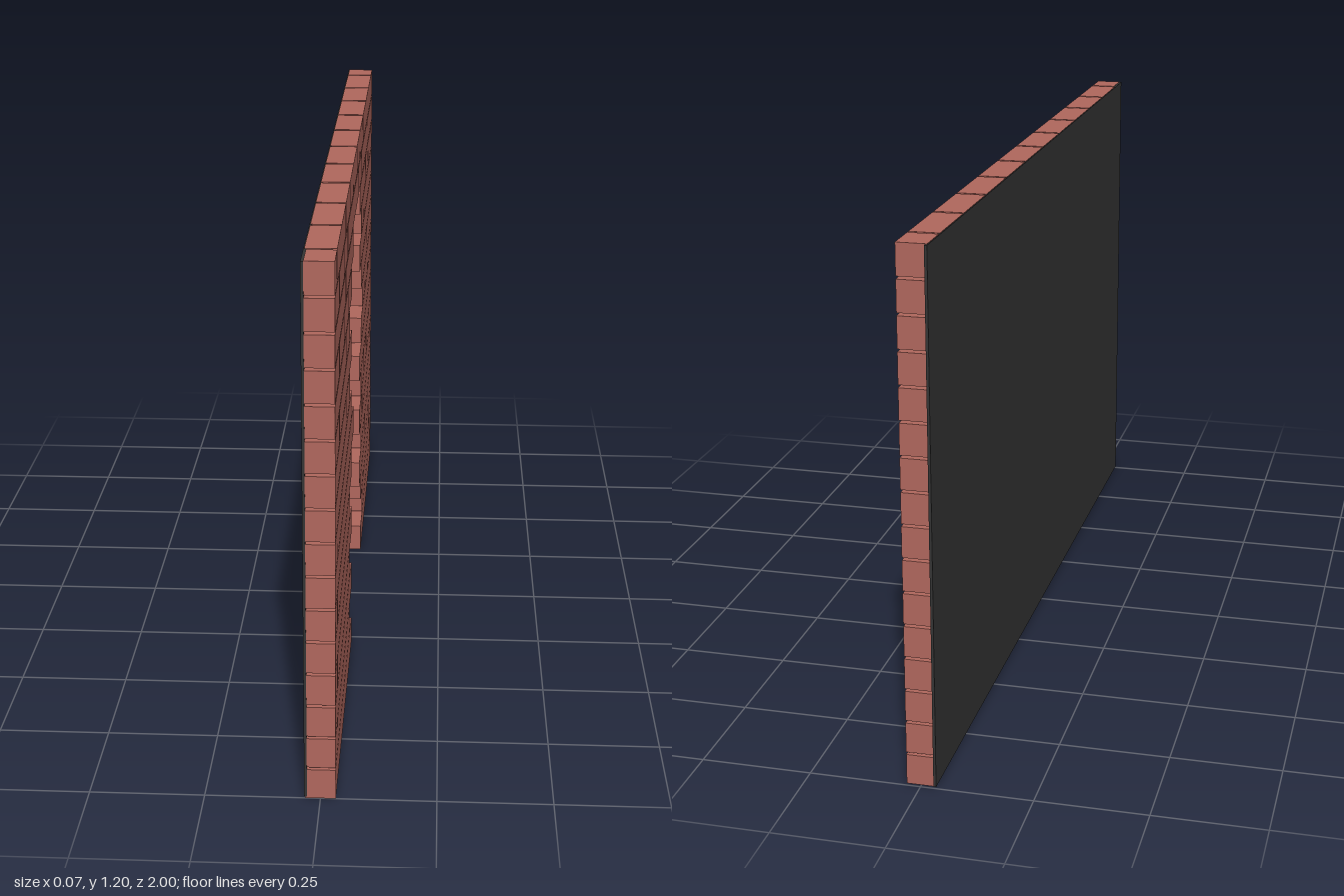
import * as THREE from 'three';

export function createModel() {
  const wall = new THREE.Group();
  wall.name = 'brickWall';

  const brickRed = new THREE.MeshStandardMaterial({ color: 0xb0675d });
  brickRed.name = 'brickRed';
  const backingDark = new THREE.MeshStandardMaterial({ color: 0x343434 });
  backingDark.name = 'backingDark';

  const addBox = (name, material, x0, x1, y0, y1, z0, z1) => {
    const mesh = new THREE.Mesh(new THREE.BoxGeometry(x1 - x0, y1 - y0, z1 - z0), material);
    mesh.position.set((x0 + x1) / 2, (y0 + y1) / 2, (z0 + z1) / 2);
    mesh.name = name;
    wall.add(mesh);
  };

  // Thin dark sheet behind the brickwork
  addBox('backingPanel', backingDark, -0.035, -0.029, 0.004, 1.199, -1, 1);

  // Running bond: 11 bricks per course, odd courses shifted by half a brick
  const pitch = 2 / 11, half = pitch / 2;
  const gapZ = 0.008, gapY = 0.006;
  const rise = (1.2 + gapY) / 16;

  // Ragged opening per course, in half bricks from the centre: [front side, back side]
  const opening = [
    [3, 3], [4, 4], [3, 3], [4, 2], [3, 3], [4, 2], [3, 3], [2, 2],
    [3, 3], [4, 4], [3, 3], [4, 2], [3, 3], [2, 2], [0, 0], [0, 0],
  ];

  opening.forEach(([front, back], row) => {
    const y0 = row * rise, y1 = y0 + rise - gapY;
    const shift = row % 2 ? half : 0;
    for (let i = 0; i < 12; i++) {
      const top = Math.min(1, 1 + shift - i * pitch);
      const bottom = Math.max(-1, 1 + shift - (i + 1) * pitch);
      if (top - bottom < 0.01) continue;
      const mid = (top + bottom) / 2;
      if (mid < front * half && mid > -back * half) continue;
      // Bricks bed into the sheet, except the cut ones at the front end
      const cutEnd = shift > 0 && i === 0;
      addBox(cutEnd ? 'halfBrick' : 'brick', brickRed, cutEnd ? -0.029 : -0.033, 0.033,
        y0, y1, bottom + gapZ, top === 1 ? 0.9995 : top);
    }
  });

  return wall;
}
